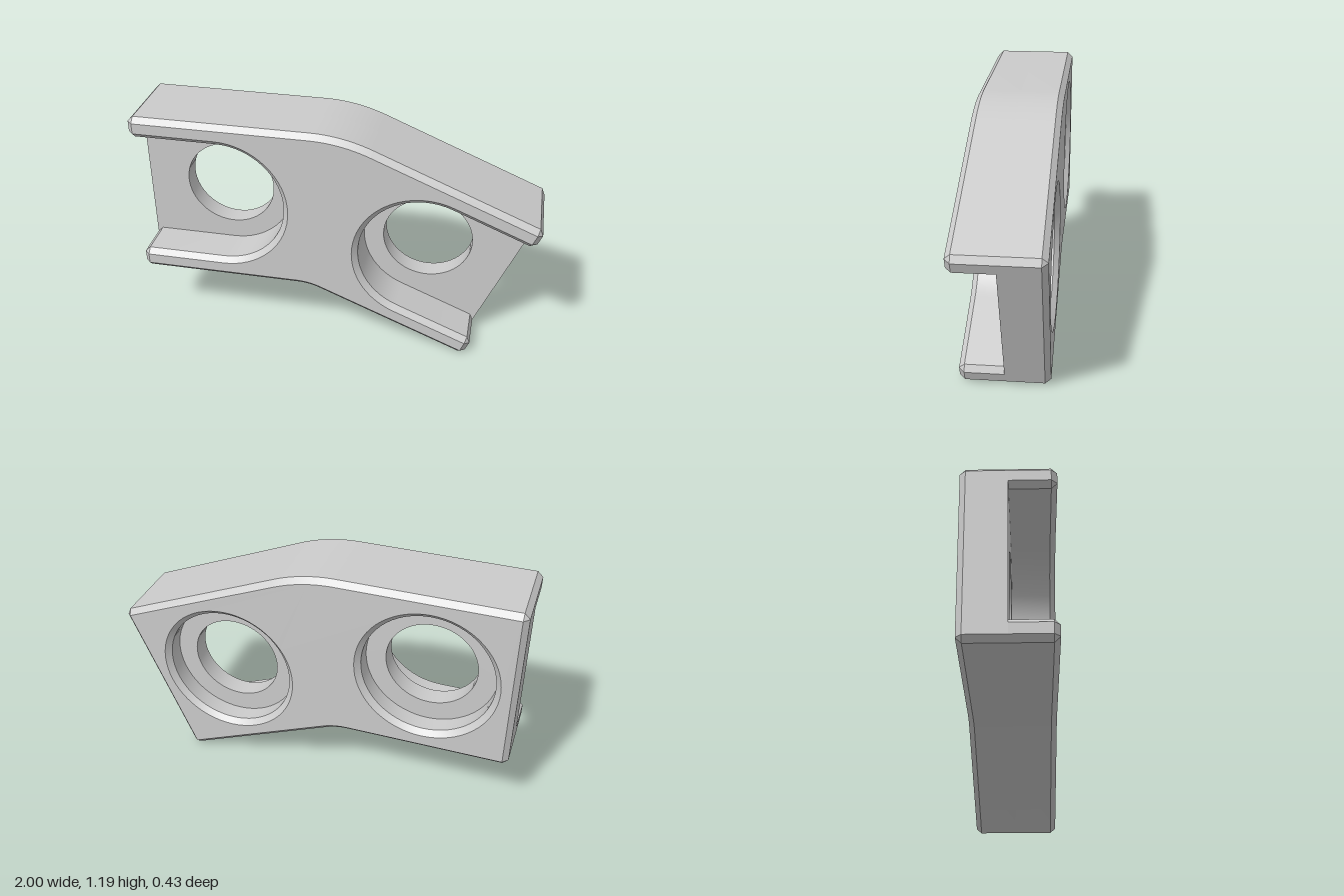
import * as THREE from 'three';
import { toCreasedNormals } from 'three/addons/utils/BufferGeometryUtils.js';

const HALF = 0.215;            // half thickness
const C = 0.027;               // chamfer
const BEND = Math.PI / 8;      // angle between the two arms
const H = 0.4325, END = 0.43;  // arm half height, hole centre to arm end
const SLOT_R = 0.325, HOLE_R = 0.225, BORE_Z = -0.1;
const B = new THREE.Vector2(-0.045, 0.758); // bend centre
const REACH = 0.53;            // bend centre to each hole
const V = (x, y) => new THREE.Vector2(x, y);

// Arms: local u runs toward the open end, v runs upward
const arms = [
  { name: 'left', place: (u, v) => V(B.x + (REACH + u) * Math.cos(BEND) + v * Math.sin(BEND),
    B.y - (REACH + u) * Math.sin(BEND) + v * Math.cos(BEND)), flip: false },
  { name: 'right', place: (u, v) => V(B.x - REACH - u, B.y + v), flip: true },
];

// U-shaped slot edge, bottom to top, with inset d and corner cut c
function slotEdge(d, c) {
  const e = END - d, r = SLOT_R + d, pts = [[e, -r - c], [e - c, -r]];
  for (let i = 0; i <= 32; i++) {
    const t = -Math.PI / 2 - Math.PI * i / 32;
    pts.push([r * Math.cos(t), r * Math.sin(t)]);
  }
  pts.push([e - c, r], [e, r + c]);
  return pts;
}

function armEnd(arm, d, c, slotted) {
  const e = END - d, h = H - d;
  const local = [[e - c, -h], [e, c - h], ...(slotted ? slotEdge(d, c) : []), [e, h - c], [e - c, h]];
  const pts = local.map(([u, v]) => arm.place(u, v));
  return arm.flip ? pts.reverse() : pts;
}

// Rounded bend, left to right; offset places the arc centre along the mitre
function bendArc(offset, r) {
  const pts = [];
  for (let i = 0; i <= 12; i++) {
    const t = BEND * i / 12;
    pts.push(V(B.x + offset * Math.tan(BEND / 2) + r * Math.sin(t), B.y + offset + r * Math.cos(t)));
  }
  return pts;
}

// Whole bracket outline, counter-clockwise
function outline(d, c, slotted) {
  return [
    ...bendArc(-H - 0.3, 0.3 + d), ...armEnd(arms[0], d, c, slotted),
    ...bendArc(H - 0.8, 0.8 - d).reverse(), ...armEnd(arms[1], d, c, slotted),
  ];
}

function circle(arm, r) {
  const o = arm.place(0, 0), pts = [];
  for (let i = 0; i < 64; i++) {
    const t = Math.PI * 2 * i / 64;
    pts.push(V(o.x + r * Math.cos(t), o.y + r * Math.sin(t)));
  }
  return pts;
}

// Wall between two matching contours; inward turns it to face the inside
function band(out, a, za, b, zb, inward = false) {
  const tri = (p, q, r) => {
    if (new THREE.Triangle(p, q, r).getArea() < 1e-8) return;
    for (const k of inward ? [p, r, q] : [p, q, r]) out.push(k.x, k.y, k.z);
  };
  a.forEach((p, i) => {
    const j = (i + 1) % a.length, at = (s, z) => new THREE.Vector3(s.x, s.y, z);
    tri(at(p, za), at(a[j], za), at(b[j], zb));
    tri(at(p, za), at(b[j], zb), at(b[i], zb));
  });
}

// Flat face with holes, facing front or back
function cap(out, contour, holes, z, back = false) {
  const clean = contour.filter((p, i) => p.distanceTo(contour[(i + 1) % contour.length]) > 1e-6);
  const shape = new THREE.Shape(clean);
  shape.holes = holes.map(h => new THREE.Path(h));
  const g = new THREE.ShapeGeometry(shape), pos = g.attributes.position, idx = g.index.array;
  for (let i = 0; i < idx.length; i += 3) {
    const order = back ? [0, 2, 1] : [0, 1, 2];
    for (const k of order) out.push(pos.getX(idx[i + k]), pos.getY(idx[i + k]), z);
  }
}

function makeMesh(name, positions) {
  const g = new THREE.BufferGeometry();
  g.setAttribute('position', new THREE.Float32BufferAttribute(positions, 3));
  const mesh = new THREE.Mesh(toCreasedNormals(g, 0.4), new THREE.MeshStandardMaterial({ color: 0xcccccc }));
  mesh.name = name;
  return mesh;
}

export function createModel() {
  const group = new THREE.Group();
  group.name = 'angledBracket';

  // Back plate: solid outline with chamfered back edge
  const plate = [], full = outline(0, C, false), fullIn = outline(C, 0, false);
  cap(plate, fullIn, arms.map(a => circle(a, SLOT_R + C)), -HALF, true);
  band(plate, fullIn, -HALF, full, C - HALF);
  band(plate, full, C - HALF, full, 0);
  group.add(makeMesh('backPlate', plate));

  // Raised front web and rails around the two slots
  const front = [], rail = outline(0, C, true), railIn = outline(C, 0, true);
  band(front, rail, 0, rail, HALF - C);
  band(front, rail, HALF - C, railIn, HALF);
  cap(front, railIn, [], HALF);
  group.add(makeMesh('frontRails', front));

  for (const arm of arms) {
    // Slot floor around the through hole
    const floor = [];
    cap(floor, slotEdge(0, C).map(([u, v]) => arm.place(u, v)), [circle(arm, HOLE_R)], 0);
    group.add(makeMesh(arm.name + 'SlotFloor', floor));

    // Chamfered counterbore and through hole
    const bore = [], hole = circle(arm, HOLE_R), wide = circle(arm, SLOT_R);
    band(bore, circle(arm, SLOT_R + C), -HALF, wide, C - HALF, true);
    band(bore, wide, C - HALF, wide, BORE_Z, true);
    cap(bore, wide, [hole], BORE_Z, true);
    band(bore, hole, BORE_Z, hole, 0, true);
    group.add(makeMesh(arm.name + 'Bore', bore));
  }
  return group;
}
